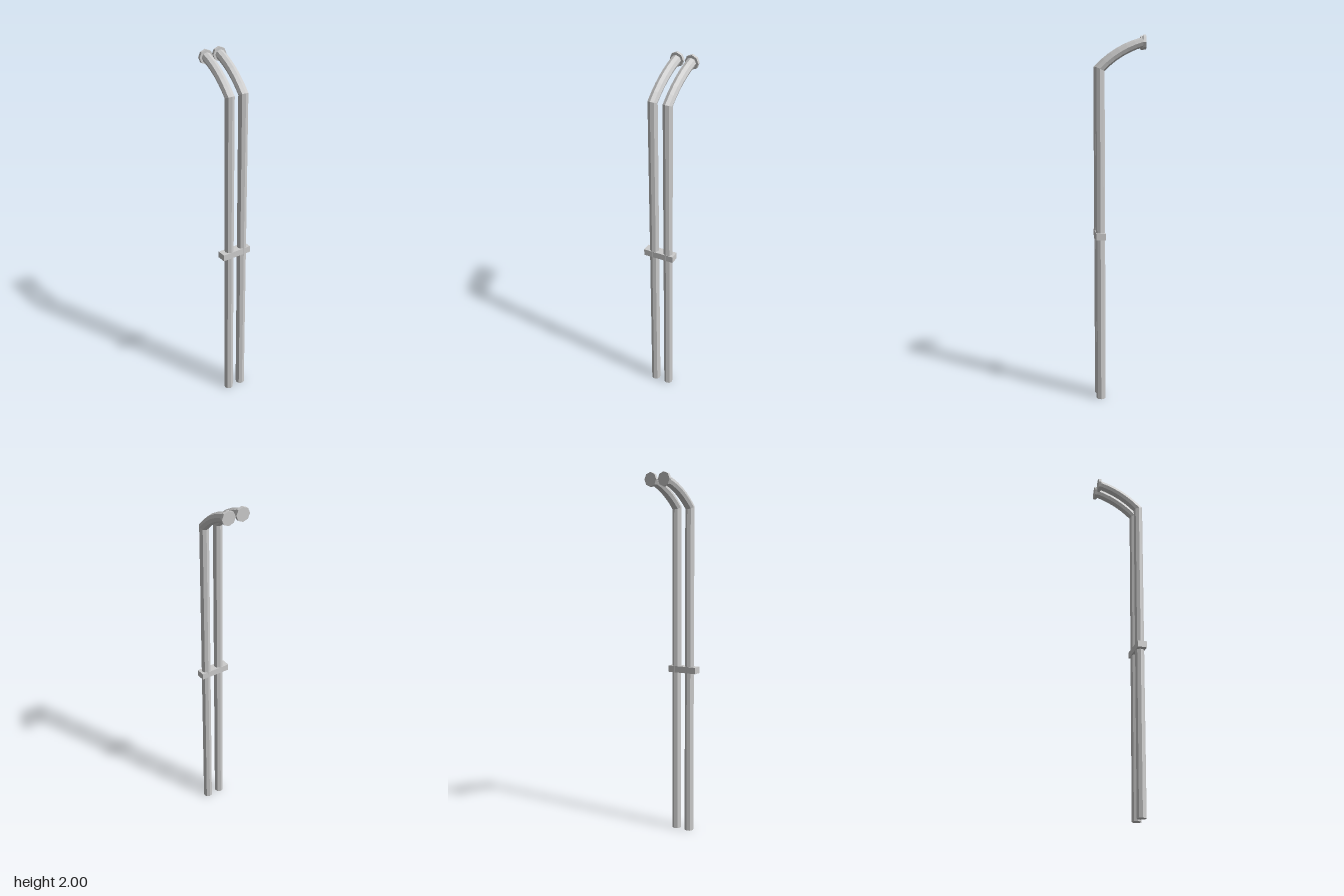
import * as THREE from 'three';

const SIDES = 8, RADIUS = 0.0255, YAW = 0.075;
const material = new THREE.MeshStandardMaterial({ color: 0xcccccc, flatShading: true });

// Horizontal heading of the bend, and the horizontal axis across it
const heading = new THREE.Vector3(Math.sin(YAW), 0, -Math.cos(YAW));
const across = new THREE.Vector3(Math.cos(YAW), 0, Math.sin(YAW));
const up = new THREE.Vector3(0, 1, 0);

// Octagonal pipe swept through a 2D path (x = along heading, y = height), mitred at each joint
function pipeGeometry(path) {
  const positions = [], index = [];
  const add = (v) => positions.push(v.x, v.y, v.z);
  const place = (q) => heading.clone().multiplyScalar(q.x).addScaledVector(up, q.y);
  path.forEach((q, i) => {
    const before = q.clone().sub(path[Math.max(i - 1, 0)]).normalize();
    const after = path[Math.min(i + 1, path.length - 1)].clone().sub(q).normalize();
    const t = before.clone().add(after).normalize();
    const stretch = 1 / Math.max(t.dot(after), t.dot(before));
    const normal = heading.clone().multiplyScalar(-t.y).addScaledVector(up, t.x);
    for (let j = 0; j < SIDES; j++) {
      const a = (j / SIDES) * Math.PI * 2;
      add(place(q).addScaledVector(normal, Math.cos(a) * RADIUS * stretch)
        .addScaledVector(across, Math.sin(a) * RADIUS));
    }
  });
  const last = (path.length - 1) * SIDES;
  const startCentre = path.length * SIDES, endCentre = startCentre + 1;
  add(place(path[0]));
  add(place(path[path.length - 1]));
  for (let j = 0; j < SIDES; j++) {
    const k = (j + 1) % SIDES;
    for (let r = 0; r < last; r += SIDES) {
      index.push(r + j, r + k, r + SIDES + k, r + j, r + SIDES + k, r + SIDES + j);
    }
    index.push(startCentre, k, j, endCentre, last + j, last + k);
  }
  const geometry = new THREE.BufferGeometry();
  geometry.setAttribute('position', new THREE.Float32BufferAttribute(positions, 3));
  geometry.setIndex(index);
  geometry.computeVertexNormals();
  return geometry;
}

export function createModel() {
  const model = new THREE.Group();
  model.name = 'twinPipes';

  // Straight riser, then a sharp joint into a gentle curve
  const bend = new THREE.QuadraticBezierCurve(
    new THREE.Vector2(0, 1.825), new THREE.Vector2(0.1, 1.928), new THREE.Vector2(0.23, 1.963));
  const path = [new THREE.Vector2(0, 0), ...bend.getPoints(6)];
  const pipe = pipeGeometry(path);
  const flange = new THREE.CylinderGeometry(0.038, 0.038, 0.016, SIDES).rotateX(Math.PI / 2);

  [['right', -0.044], ['left', 0.038]].forEach(([side, x]) => {
    const group = new THREE.Group();
    group.name = side + 'Pipe';
    group.position.set(x, 0, 0.108);

    const tube = new THREE.Mesh(pipe, material);
    tube.name = side + 'Tube';

    // End flange facing backwards
    const cap = new THREE.Mesh(flange, material);
    cap.name = side + 'Flange';
    cap.position.copy(heading).multiplyScalar(0.235).setY(1.962);
    cap.rotation.y = -YAW;

    group.add(tube, cap);
    model.add(group);
  });

  // Clamp bar tying the two pipes together
  const bracket = new THREE.Mesh(new THREE.BoxGeometry(0.172, 0.036, 0.05), material);
  bracket.name = 'bracket';
  bracket.position.set(-0.009, 0.931, 0.108);
  model.add(bracket);

  return model;
}
